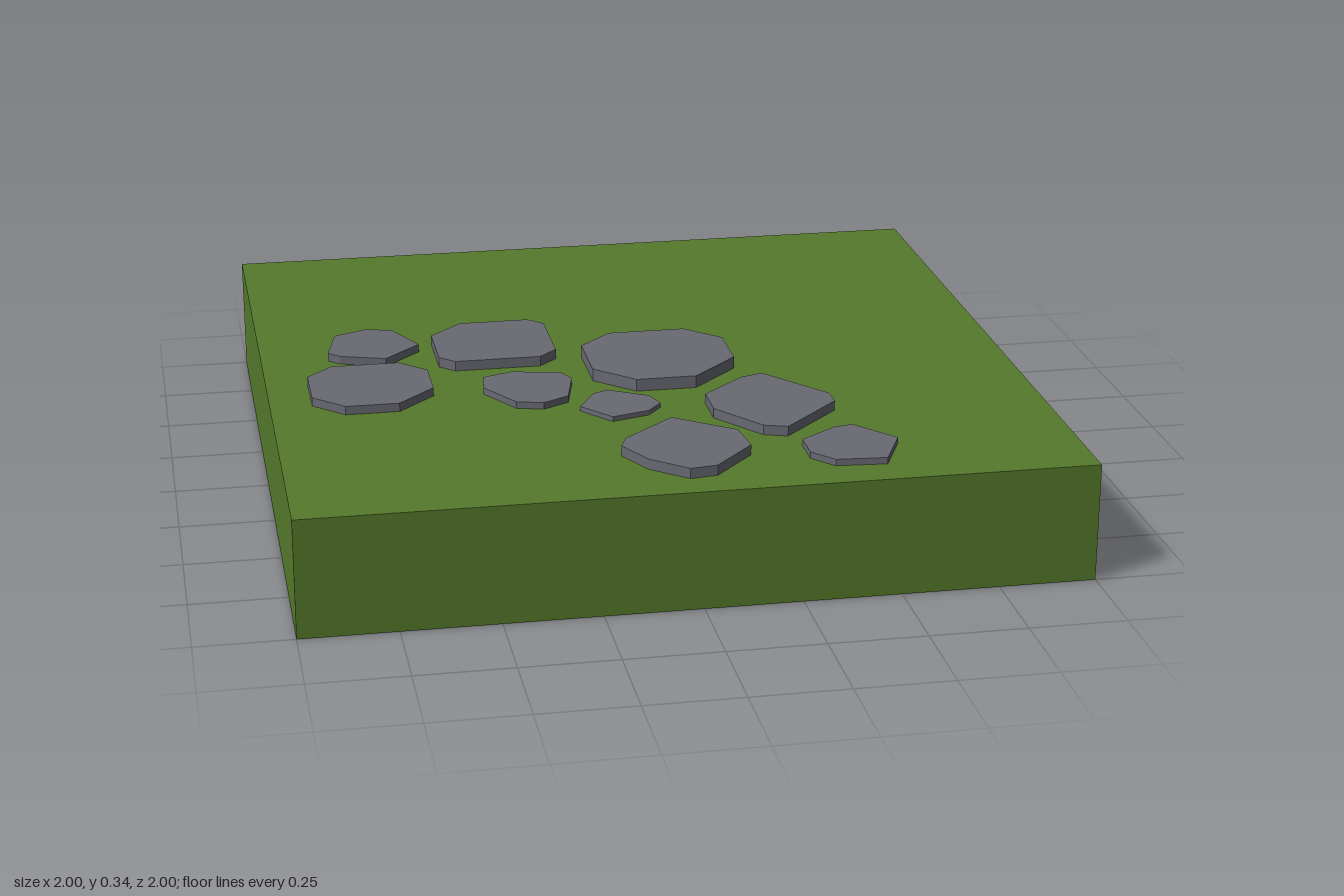
import * as THREE from 'three';

const grass = new THREE.MeshStandardMaterial({ name: 'grass green', color: 0x55792b });
const rock = new THREE.MeshStandardMaterial({ name: 'stone grey', color: 0x686972 });

const GROUND = 0.31;

// Outline of a rectangle with its four corners cut at 45 degrees, as x, z pairs
function cutRectangle(x0, z0, x1, z1, backLeft, backRight, frontRight, frontLeft) {
  return [
    [x0, z0 + backLeft], [x0 + backLeft, z0],
    [x1 - backRight, z0], [x1, z0 + backRight],
    [x1, z1 - frontRight], [x1 - frontRight, z1],
    [x0 + frontLeft, z1], [x0, z1 - frontLeft],
  ];
}

// Flat slab extruded upward from its outline, sitting on the grass
function makeStone(name, height, outline) {
  const shape = new THREE.Shape(outline.map(([x, z]) => new THREE.Vector2(x, -z)));
  const geometry = new THREE.ExtrudeGeometry(shape, { depth: height, bevelEnabled: false });
  geometry.rotateX(-Math.PI / 2);
  const stone = new THREE.Mesh(geometry, rock);
  stone.name = name;
  stone.position.y = GROUND;
  return stone;
}

export function createModel() {
  const model = new THREE.Group();
  model.name = 'steppingStoneTile';

  // Square block of ground
  const ground = new THREE.Mesh(new THREE.BoxGeometry(2, GROUND, 2), grass);
  ground.name = 'groundBlock';
  ground.position.y = GROUND / 2;
  model.add(ground);

  const path = new THREE.Group();
  path.name = 'stonePath';
  model.add(path);

  // Large, squared stones
  path.add(
    makeStone('backSquareStone', 0.027, cutRectangle(-0.53, -0.27, -0.21, 0.04, 0.09, 0.04, 0.05, 0.04)),
    makeStone('leftStone', 0.023, cutRectangle(-0.89, 0.01, -0.57, 0.32, 0.07, 0.07, 0.10, 0.08)),
    makeStone('largeStone', 0.033, cutRectangle(-0.14, -0.10, 0.25, 0.28, 0.09, 0.09, 0.13, 0.10)),
  );

  // Irregular stones
  path.add(
    makeStone('backLeftStone', 0.022,
      [[-0.79, -0.24], [-0.70, -0.28], [-0.63, -0.26], [-0.57, -0.13], [-0.67, -0.03], [-0.79, -0.07], [-0.82, -0.10]]),
    makeStone('middleStone', 0.018,
      [[-0.43, 0.15], [-0.35, 0.12], [-0.22, 0.15], [-0.20, 0.20], [-0.23, 0.33], [-0.30, 0.37], [-0.37, 0.35], [-0.44, 0.23]]),
    makeStone('smallStone', 0.013,
      [[-0.16, 0.31], [-0.12, 0.29], [-0.02, 0.35], [0, 0.41], [-0.04, 0.46], [-0.14, 0.49], [-0.21, 0.40]]),
    makeStone('rightStone', 0.026,
      [[0.12, 0.40], [0.24, 0.29], [0.30, 0.27], [0.44, 0.45], [0.44, 0.51], [0.28, 0.67], [0.22, 0.65], [0.12, 0.51]]),
    makeStone('frontStone', 0.027,
      [[0, 0.555], [0.15, 0.67], [0.16, 0.78], [0.05, 0.90], [-0.02, 0.91], [-0.11, 0.83], [-0.16, 0.73], [-0.14, 0.68]]),
    makeStone('frontRightStone', 0.017,
      [[0.40, 0.67], [0.45, 0.66], [0.54, 0.77], [0.48, 0.90], [0.35, 0.89], [0.30, 0.83], [0.30, 0.74]]),
  );

  return model;
}
